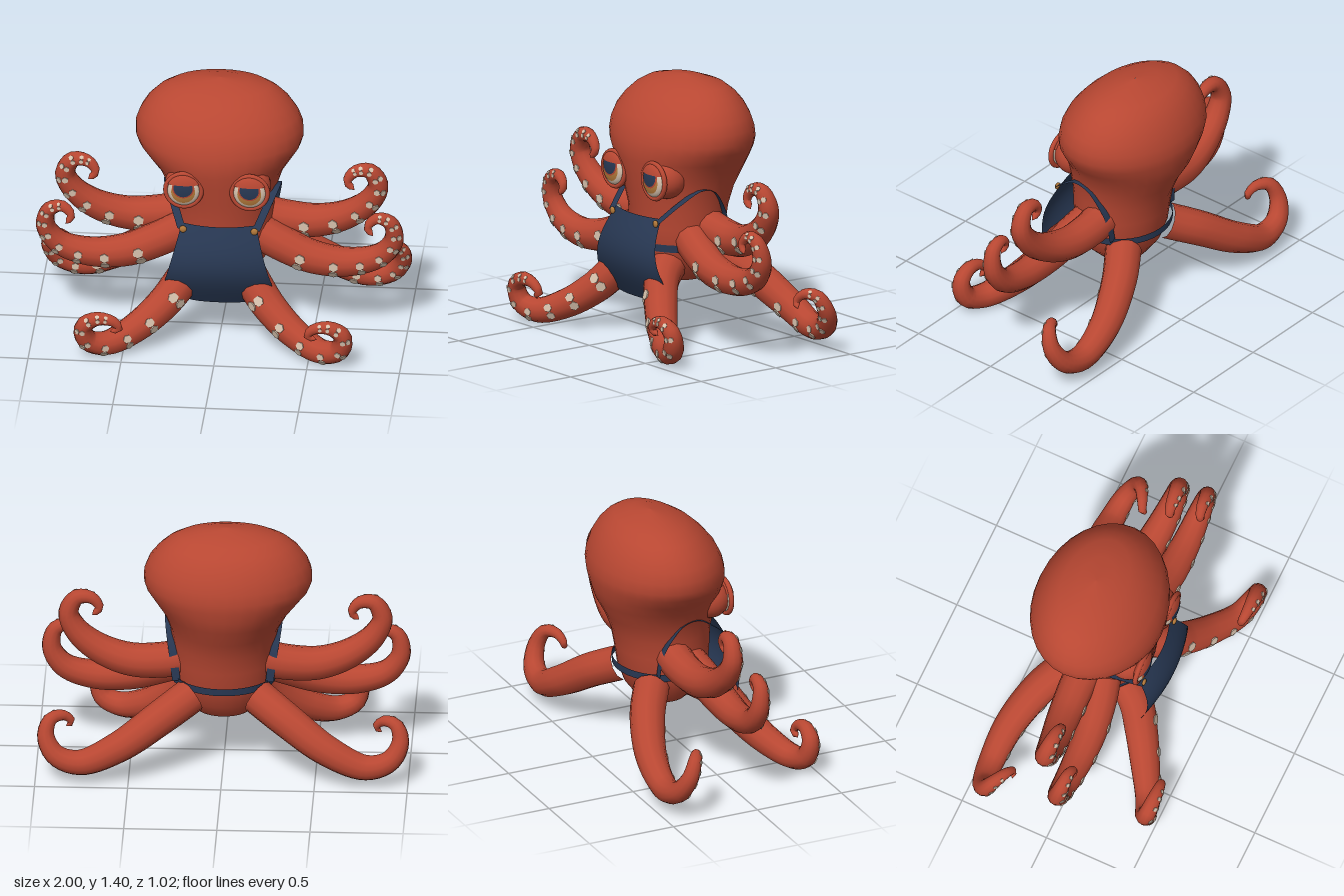
import * as THREE from 'three';
import { mergeGeometries, mergeVertices } from 'three/addons/utils/BufferGeometryUtils.js';

const mat = (name, color, side = THREE.FrontSide) => {
  const m = new THREE.MeshStandardMaterial({ color, side });
  m.name = name;
  return m;
};
const V = (x, y, z) => new THREE.Vector3(x, y, z);

export function createModel() {
  const root = new THREE.Group();
  root.name = 'octopus';
  const skin = mat('red skin', 0xb84732);
  const cloth = mat('navy cloth', 0x273752, THREE.DoubleSide);
  const cream = mat('cream', 0xd8c3ae);
  const amber = mat('amber', 0xb57a3a);

  const add = (name, geometry, material, parent = root) => {
    const mesh = new THREE.Mesh(geometry, material);
    mesh.name = name;
    parent.add(mesh);
    return mesh;
  };

  // Head and body: oval rings of [y, centre x, half width, front z, back z]
  const rings = [
    [0.32, 0, 0.001, -0.094, -0.096], [0.32, 0, 0.15, 0.04, -0.23],
    [0.40, 0, 0.23, 0.11, -0.29], [0.50, 0, 0.265, 0.155, -0.325],
    [0.62, 0, 0.27, 0.165, -0.345], [0.72, 0, 0.275, 0.17, -0.365],
    [0.82, -0.005, 0.295, 0.19, -0.405], [0.92, -0.013, 0.338, 0.205, -0.46],
    [0.99, -0.018, 0.39, 0.218, -0.482], [1.05, -0.022, 0.434, 0.22, -0.493],
    [1.10, -0.024, 0.452, 0.213, -0.498], [1.16, -0.025, 0.45, 0.197, -0.488],
    [1.22, -0.026, 0.428, 0.167, -0.467], [1.28, -0.028, 0.387, 0.118, -0.437],
    [1.33, -0.028, 0.335, 0.065, -0.396], [1.37, -0.025, 0.268, 0, -0.345],
    [1.40, -0.02, 0.15, -0.08, -0.26], [1.415, -0.02, 0.001, -0.164, -0.166],
  ];
  let body = new THREE.LatheGeometry(rings.map(r => new THREE.Vector2(1, r[0])), 32);
  const bp = body.attributes.position;
  for (let i = 0; i < bp.count; i++) {
    const [y, cx, hx, zf, zb] = rings[i % rings.length];
    bp.setXYZ(i, cx + hx * bp.getX(i), y, (zf + zb) / 2 + (zf - zb) / 2 * bp.getZ(i));
  }
  body.deleteAttribute('normal');
  body.deleteAttribute('uv');
  body = mergeVertices(body);
  body.computeVertexNormals();
  add('headAndBody', body, skin);

  // Tentacles: tapered tubes with two rows of suckers, one facing forward, one lower
  const radius = u => (u >= 1 ? 0 : 0.014 + 0.084 * (1 - Math.pow(u, 1.9)));

  function tentacle(name, points, side) {
    const group = new THREE.Group();
    group.name = name;
    const curve = new THREE.CatmullRomCurve3(
      points.map(([x, y, z]) => V(side > 0 ? x : -x - 0.015, y, z)));
    const steps = 44, sides = 12;
    const tube = new THREE.TubeGeometry(curve, steps, 1, sides);
    const { position, normal } = tube.attributes;
    for (let i = 0; i < position.count; i++) {
      const u = Math.floor(i / (sides + 1)) / steps;
      const n = new THREE.Vector3().fromBufferAttribute(normal, i);
      const p = curve.getPointAt(u).addScaledVector(n, radius(u));
      position.setXYZ(i, p.x, p.y, p.z);
    }
    add('arm', tube, skin, group);

    const discs = [];
    for (let k = 0; k < 9; k++) {
      for (const angle of [0, 0.65]) {
        const u = 1 - 0.77 * Math.pow(0.8, k);
        const r = radius(u), t = curve.getTangentAt(u);
        const front = V(0, 0, 1).addScaledVector(t, -t.z).normalize();
        const across = t.clone().cross(front).multiplyScalar(side);
        const n = front.multiplyScalar(Math.cos(angle)).addScaledVector(across, Math.sin(angle));
        const size = 0.32 * r;
        const disc = new THREE.CylinderGeometry(size, size, 0.007, 6);
        disc.applyQuaternion(new THREE.Quaternion().setFromUnitVectors(V(0, 1, 0), n));
        const c = curve.getPointAt(u).addScaledVector(n, r - 0.002);
        discs.push(disc.translate(c.x, c.y, c.z));
      }
    }
    add('suckers', mergeGeometries(discs), cream, group);
    root.add(group);
  }

  const paths = {
    FrontTentacle: [[0.10, 0.43, 0.03], [0.18, 0.355, 0.15], [0.28, 0.24, 0.23], [0.42, 0.135, 0.32],
      [0.57, 0.078, 0.405], [0.67, 0.11, 0.44], [0.69, 0.20, 0.46], [0.62, 0.25, 0.465],
      [0.53, 0.235, 0.46], [0.50, 0.19, 0.45], [0.55, 0.17, 0.45]],
    BackTentacle: [[0.17, 0.45, -0.24], [0.33, 0.36, -0.34], [0.55, 0.22, -0.42], [0.76, 0.13, -0.435],
      [0.89, 0.165, -0.42], [0.945, 0.26, -0.38], [0.92, 0.34, -0.34], [0.85, 0.345, -0.30],
      [0.81, 0.30, -0.28], [0.84, 0.265, -0.27]],
    MiddleTentacle: [[0.20, 0.57, -0.03], [0.32, 0.515, 0], [0.50, 0.45, 0.025], [0.70, 0.435, 0.03],
      [0.86, 0.485, 0.03], [0.93, 0.585, 0.04], [0.91, 0.69, 0.055], [0.84, 0.715, 0.06],
      [0.79, 0.665, 0.07], [0.82, 0.615, 0.075]],
    UpperTentacle: [[0.20, 0.63, -0.13], [0.32, 0.605, -0.13], [0.50, 0.60, -0.12], [0.67, 0.655, -0.10],
      [0.79, 0.75, -0.085], [0.835, 0.85, -0.075], [0.79, 0.935, -0.065], [0.71, 0.93, -0.06],
      [0.67, 0.87, -0.055], [0.71, 0.825, -0.05]],
  };
  for (const [part, points] of Object.entries(paths)) {
    tentacle('left' + part, points, 1);
    tentacle('right' + part, points, -1);
  }

  // Eyes: socket with rim, flattened ball, iris and pupil shells, heavy upper lid
  const cap = (r, angle, tilt) =>
    new THREE.SphereGeometry(r, 24, 10, 0, Math.PI * 2, 0, angle)
      .rotateX(Math.PI / 2 - tilt).scale(1, 1, 0.4);
  for (const s of [-1, 1]) {
    const eye = new THREE.Group();
    eye.name = s > 0 ? 'leftEye' : 'rightEye';
    eye.position.set(s * 0.178 - 0.012, 0.907, 0.19);
    add('socket', new THREE.SphereGeometry(0.107, 24, 16), skin, eye).position.z = -0.085;
    add('rim', new THREE.TorusGeometry(0.096, 0.014, 10, 28), skin, eye);
    add('eyeball', cap(0.09, Math.PI, 0), cream, eye);
    add('irisRing', cap(0.092, 0.78, 0), amber, eye);
    add('iris', cap(0.094, 0.7, 0.34), skin, eye);
    add('pupil', cap(0.096, 0.57, 0.3), cloth, eye);
    add('upperLid', cap(0.1, 1.15, Math.PI / 2), skin, eye);
    root.add(eye);
  }

  // Apron bib: a bulging sheet, wider toward the hem
  const bib = new THREE.PlaneGeometry(2, 1, 16, 14);
  const ap = bib.attributes.position;
  for (let i = 0; i < ap.count; i++) {
    const s = ap.getX(i), t = ap.getY(i) + 0.5;
    const y = THREE.MathUtils.lerp(0.24 + 0.09 * s ** 4, 0.7, t);
    const half = 0.2 + 0.09 * Math.min(1, (0.7 - y) / 0.33);
    const z = 0.21 + 0.08 * Math.sin(Math.PI * (0.7 - y) / 0.43) - 0.042 * s * s;
    ap.setXYZ(i, s * half, y, z);
  }
  bib.computeVertexNormals();
  add('apronBib', bib, cloth);

  // Waist tie around the body
  const tie = new THREE.CylinderGeometry(1, 1, 0.04, 36, 1, true);
  tie.scale(0.28, 1, 0.255).translate(0, 0.52, -0.098);
  add('waistTie', tie, cloth);

  // Shoulder straps: flat ribbons from the bib, over the shoulder, down to the tie
  for (const s of [-1, 1]) {
    const curve = new THREE.CatmullRomCurve3([
      V(0.2, 0.68, 0.2), V(0.25, 0.775, 0.09), V(0.293, 0.85, -0.03),
      V(0.293, 0.83, -0.11), V(0.282, 0.755, -0.17), V(0.266, 0.66, -0.215), V(0.25, 0.53, -0.23),
    ].map(p => V(p.x * s, p.y, p.z)));
    const steps = 20, pos = [], index = [];
    for (let i = 0; i <= steps; i++) {
      const { x, y, z } = curve.getPointAt(i / steps);
      pos.push(x - 0.022, y, z, x + 0.022, y, z);
      const a = 2 * i;
      if (i < steps) index.push(a, a + 1, a + 2, a + 1, a + 3, a + 2);
    }
    const strap = new THREE.BufferGeometry();
    strap.setAttribute('position', new THREE.Float32BufferAttribute(pos, 3));
    strap.setIndex(index);
    strap.computeVertexNormals();
    add(s > 0 ? 'leftStrap' : 'rightStrap', strap, cloth);

    const button = add(s > 0 ? 'leftButton' : 'rightButton',
      new THREE.SphereGeometry(0.02, 12, 8), amber);
    button.scale.z = 0.5;
    button.position.set(s * 0.192, 0.677, 0.2);
  }

  return root;
}
